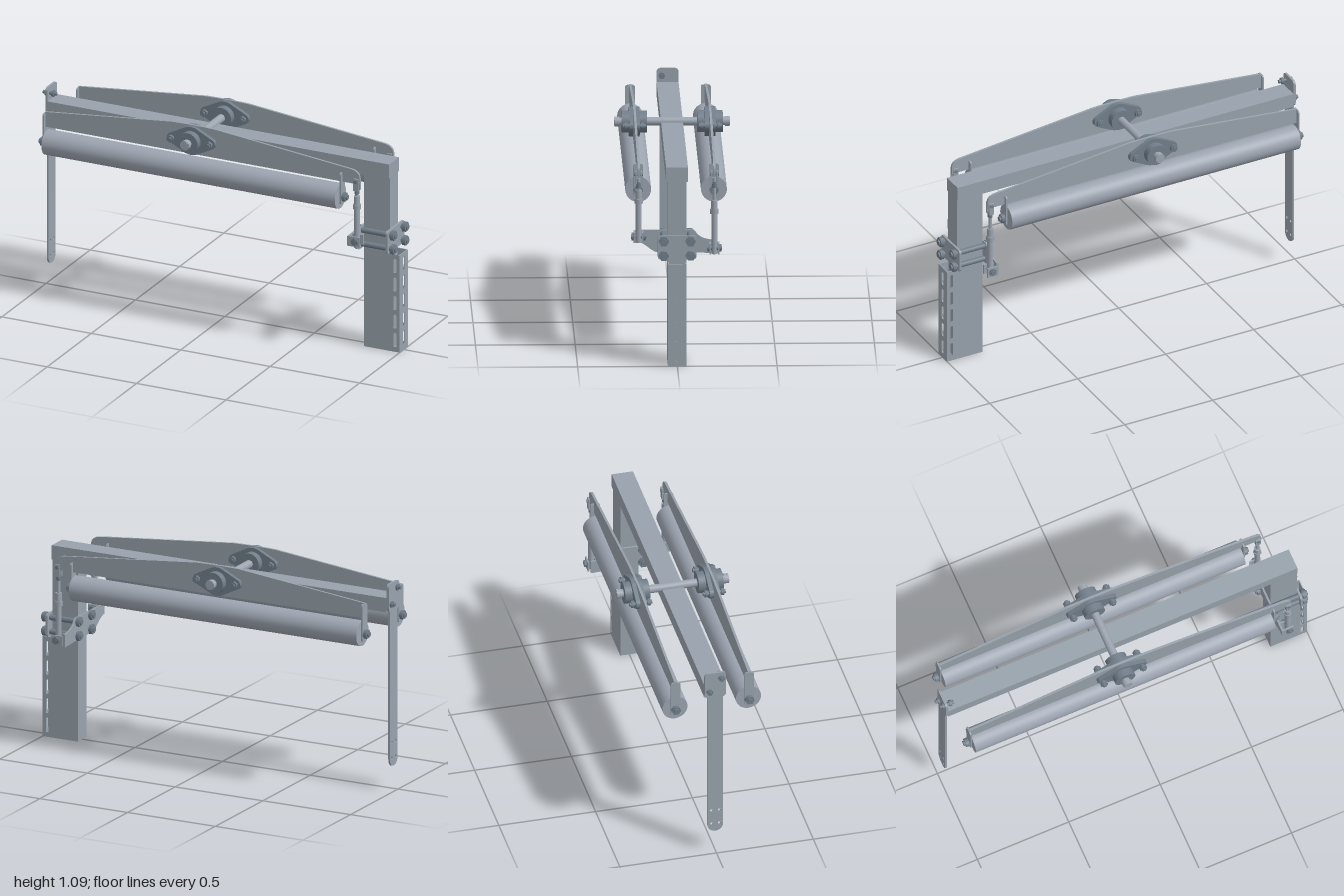
import * as THREE from 'three';

const mat = (name, color) => new THREE.MeshStandardMaterial({ name, color });

export function createModel() {
  const root = new THREE.Group();
  root.name = 'rollerFrame';
  const steel = mat('steel plate grey', 0x98a2ac);
  const rollerGrey = mat('roller grey', 0x9da5b1);
  const dark = mat('dark casting grey', 0x717e8a);

  const add = (name, geo, m, parent = root) => {
    const mesh = new THREE.Mesh(geo, m);
    mesh.name = name;
    parent.add(mesh);
    return mesh;
  };
  // Box given by its min and max on each axis
  const box = (name, x0, x1, y0, y1, z0, z1, m = steel, parent = root) =>
    add(name, new THREE.BoxGeometry(x1 - x0, y1 - y0, z1 - z0)
      .translate((x0 + x1) / 2, (y0 + y1) / 2, (z0 + z1) / 2), m, parent);
  // Cylinder along an axis, from a to b; p holds the other two coordinates in xyz order
  const rod = (name, axis, a, b, p, r, m = steel, sides = 24, parent = root) => {
    const g = new THREE.CylinderGeometry(r, r, b - a, sides);
    const c = (a + b) / 2;
    if (axis === 'x') g.rotateZ(-Math.PI / 2).translate(c, p[0], p[1]);
    if (axis === 'y') g.translate(p[0], c, p[1]);
    if (axis === 'z') g.rotateX(Math.PI / 2).translate(p[0], p[1], c);
    return add(name, g, m, parent);
  };
  const extrude = (shape, depth) =>
    new THREE.ExtrudeGeometry(shape, { depth, bevelEnabled: false, curveSegments: 10 });
  // Plate facing x; the shape is drawn in (-z, y)
  const sidePlate = (name, shape, x0, x1, m = steel, parent = root) =>
    add(name, extrude(shape, x1 - x0).rotateY(Math.PI / 2).translate(x0, 0, 0), m, parent);
  const roundRect = (x0, x1, y0, y1, r, s = new THREE.Shape()) => {
    s.absarc(x1 - r, y0 + r, r, -Math.PI / 2, 0);
    s.absarc(x1 - r, y1 - r, r, 0, Math.PI / 2);
    s.absarc(x0 + r, y1 - r, r, Math.PI / 2, Math.PI);
    s.absarc(x0 + r, y0 + r, r, Math.PI, Math.PI * 1.5);
    s.closePath();
    return s;
  };
  const slotted = (shape, cx, w) => {
    for (let i = 0; i < 5; i++) {
      const y = 0.063 + i * 0.1;
      shape.holes.push(roundRect(cx - w / 2, cx + w / 2, y - 0.038, y + 0.038, w / 2 - 0.0005, new THREE.Path()));
    }
    return shape;
  };
  // Threaded bar with a hexagon at both ends
  const bolt = (name, axis, a, b, p, r, inset = 0.012, m = dark, parent = root) => {
    rod(name + 'Shank', axis, a, b, p, r * 0.55, m, 16, parent);
    rod(name + 'Head', axis, a + inset, a + inset + r * 0.8, p, r, m, 6, parent);
    rod(name + 'Nut', axis, b - inset - r * 0.8, b - inset, p, r, m, 6, parent);
  };

  // Hollow post, open at the bottom
  const T = 0.005;
  box('postInnerWall', 0.8, 0.8 + T, 0, 0.94, -0.047, 0.047);
  box('postOuterWall', 0.945 - T, 0.945, 0, 0.94, -0.047, 0.047);
  for (const s of [-1, 1]) {
    const z = s * (0.047 - T / 2);
    box('postSideWall', 0.8 + T, 0.945 - T, 0, 0.94, z - T / 2, z + T / 2);
  }

  // Slotted channel on the outside of the post
  sidePlate('channelWeb', slotted(roundRect(-0.047, 0.047, 0, 0.525, 0.002), 0, 0.021), 0.995, 1);
  for (const s of [-1, 1]) {
    const flange = slotted(roundRect(0.945, 0.996, 0, 0.525, 0.001), 0.974, 0.016);
    add('channelFlange', extrude(flange, T).translate(0, 0, s > 0 ? 0.047 - T : -0.047), steel);
  }

  // Straight centre beam
  box('centreBeam', -0.965, 0.945, 0.935, 1.01, -0.055, 0.055);

  // Hanging strap and its end plate
  const strap = new THREE.Shape();
  strap.moveTo(-0.04, 0.96);
  strap.lineTo(-0.04, 0.16);
  strap.absarc(0, 0.16, 0.04, Math.PI, Math.PI * 2);
  strap.lineTo(0.04, 0.96);
  strap.closePath();
  for (const u of [-0.02, 0.02]) for (const y of [0.165, 0.245]) {
    const h = new THREE.Path();
    h.absarc(u, y, 0.008, 0, Math.PI * 2);
    strap.holes.push(h);
  }
  sidePlate('hangingStrap', strap, -0.976, -0.966);
  sidePlate('endPlate', roundRect(-0.055, 0.055, 0.935, 1.082, 0.02), -0.977, -0.965);
  bolt('endPlateBolt', 'x', -1, -0.925, [1.048, 0.03], 0.017);
  bolt('endPlateBolt', 'x', -1, -0.925, [0.973, -0.03], 0.017);

  // Clamp plates around the post and their four bolts
  const clamp = new THREE.Shape();
  clamp.moveTo(-0.215, 0.602);
  clamp.bezierCurveTo(-0.15, 0.595, -0.13, 0.54, -0.085, 0.54);
  clamp.lineTo(0.085, 0.54);
  clamp.lineTo(0.2, 0.535);
  clamp.lineTo(0.2, 0.602);
  clamp.lineTo(0.17, 0.606);
  clamp.quadraticCurveTo(0.12, 0.61, 0.097, 0.645);
  clamp.lineTo(0.085, 0.658);
  clamp.lineTo(-0.215, 0.655);
  clamp.closePath();
  sidePlate('innerClampPlate', clamp, 0.79, 0.8);
  sidePlate('outerClampPlate', roundRect(-0.097, 0.097, 0.54, 0.66, 0.014), 0.945, 0.956);
  for (const z of [-0.067, 0.067]) for (const y of [0.562, 0.636])
    bolt('clampBolt', 'x', 0.765, 0.992, [y, z], 0.026, 0.007);

  // Cross shaft with end collars
  rod('crossShaft', 'z', -0.29, 0.29, [-0.083, 1.012], 0.021, rollerGrey);
  for (const s of [-1, 1])
    rod('shaftCollar', 'z', s * 0.277 - 0.012, s * 0.277 + 0.012, [-0.083, 1.012], 0.025, rollerGrey);

  // Rocking arm outline
  const armShape = new THREE.Shape();
  armShape.moveTo(-0.91, 0.935);
  armShape.lineTo(0.85, 0.935);
  armShape.lineTo(0.85, 0.965);
  armShape.quadraticCurveTo(0.85, 1.005, 0.8, 1.011);
  armShape.lineTo(0.04, 1.088);
  armShape.quadraticCurveTo(-0.083, 1.092, -0.2, 1.088);
  armShape.lineTo(-0.91, 1.014);
  armShape.closePath();

  // Bearing flange outline: round centre with two pointed ears
  const flange = new THREE.Shape();
  flange.absarc(0.107, 0, 0.027, -1.1, 1.1);
  flange.absarc(0, 0, 0.075, 1.1, Math.PI - 1.1);
  flange.absarc(-0.107, 0, 0.027, Math.PI - 1.1, Math.PI + 1.1);
  flange.absarc(0, 0, 0.075, Math.PI + 1.1, Math.PI * 2 - 1.1);
  flange.closePath();

  for (const s of [-1, 1]) {
    const side = new THREE.Group();
    side.name = s > 0 ? 'frontRollerArm' : 'backRollerArm';
    side.position.z = s * 0.19;
    root.add(side);

    add('armPlate', extrude(armShape, 0.012).translate(0, 0, -0.006), steel, side);

    // Bearing on both faces of the arm
    add('bearingFlange', extrude(flange, 0.054).translate(-0.083, 1.012, -0.027), dark, side);
    rod('bearingHub', 'z', -0.064, 0.064, [-0.083, 1.012], 0.055, dark, 32, side);
    for (const x of [-0.19, 0.024])
      bolt('bearingBolt', 'z', -0.058, 0.058, [x, 1.012], 0.02, 0.008, dark, side);

    // Roller, axle and end tabs
    rod('roller', 'x', -0.9, 0.74, [0.852, 0], 0.065, rollerGrey, 40, side);
    bolt('rollerAxle', 'x', -0.942, 0.782, [0.852, 0], 0.024, 0.009, dark, side);
    sidePlate('leftRollerTab', roundRect(-0.025, 0.025, 0.815, 1.01, 0.012), -0.914, -0.906, steel, side);
    sidePlate('rightRollerTab', roundRect(-0.025, 0.025, 0.815, 0.985, 0.012), 0.746, 0.754, steel, side);

    // Adjustable link from the arm end down to the clamp plate
    const yPivot = s > 0 ? 0.63 : 0.57;
    const yMid = s > 0 ? 0.8 : 0.745;
    const x = 0.832;
    rod('linkBarrel', 'y', yPivot - 0.03, yMid, [x, 0], 0.015, rollerGrey, 20, side);
    rod('linkCoupling', 'y', yMid, yMid + 0.026, [x, 0], 0.021, rollerGrey, 6, side);
    rod('linkUpperBarrel', 'y', yMid + 0.026, yMid + 0.07, [x, 0], 0.016, rollerGrey, 20, side);
    rod('linkThread', 'y', yMid + 0.07, 0.93, [x, 0], 0.009, rollerGrey, 16, side);
    rod('linkNut', 'y', 0.88, 0.91, [x, 0], 0.013, dark, 6, side);
    for (const z of [-0.013, 0.013]) {
      box('linkFork', x - 0.013, x + 0.013, 0.9, 0.965, z - 0.004, z + 0.004, steel, side);
    }
    rod('linkForkPin', 'z', -0.022, 0.022, [x, 0.95], 0.009, dark, 16, side);

    // Lower pivot bracket
    for (const z of [-0.021, 0.021]) {
      box('pivotLug', 0.8, 0.858, yPivot - 0.028, yPivot + 0.025, z - 0.004, z + 0.004, steel, side);
    }
    bolt('pivotBolt', 'z', -0.038, 0.038, [x, yPivot], 0.02, 0.003, dark, side);
  }
  return root;
}
